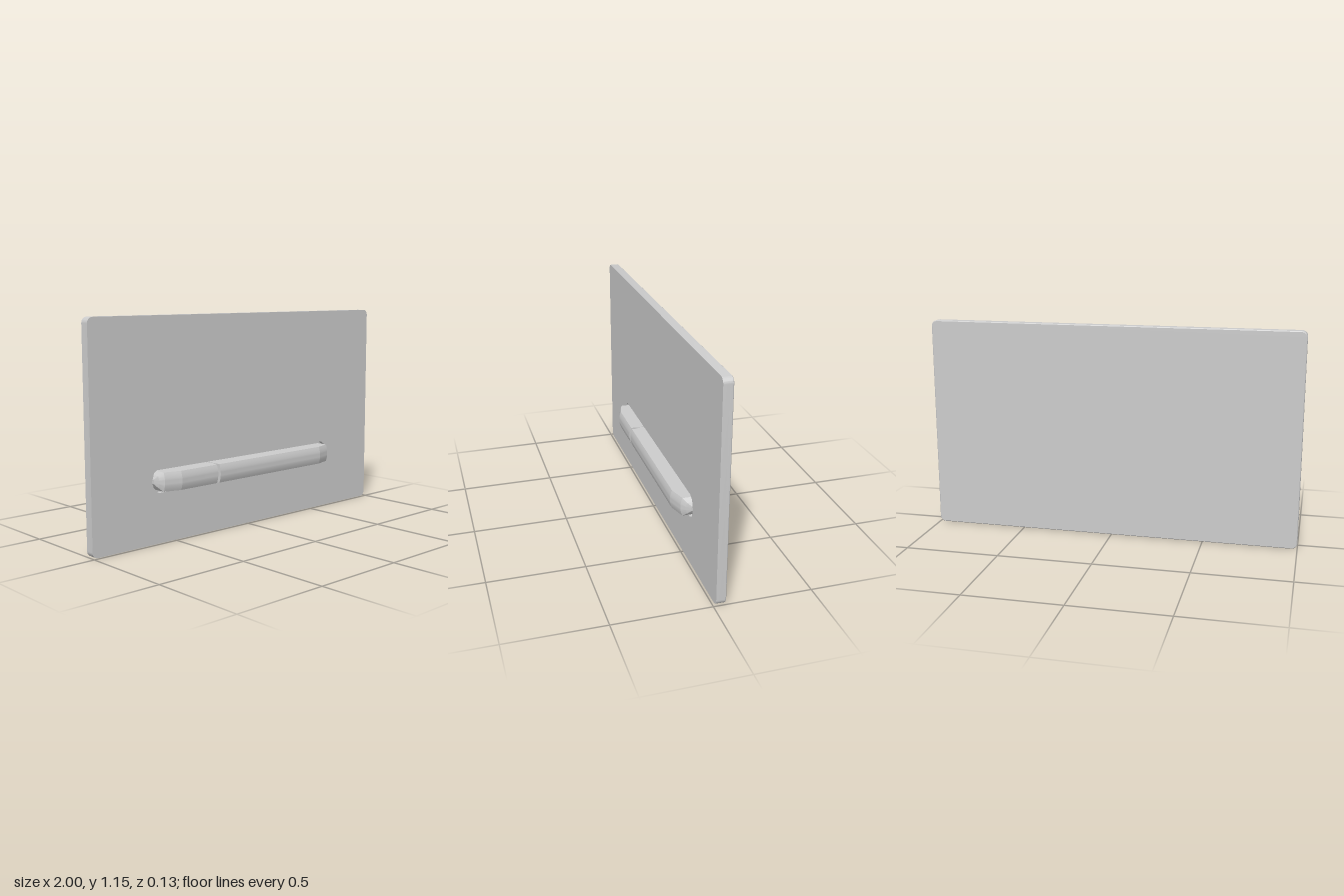
import * as THREE from 'three';
import { toCreasedNormals } from 'three/addons/utils/BufferGeometryUtils.js';

const material = new THREE.MeshStandardMaterial({ color: 0xcccccc });
const HEIGHT = 1.146, BUTTON_Y = 0.322;
const BACK = -0.064, FLOOR = -0.04, FACE = -0.013;

function addMesh(group, name, geometry) {
  const mesh = new THREE.Mesh(geometry, material);
  mesh.name = name;
  group.add(mesh);
  return mesh;
}

// Rectangle with rounded corners, standing on y = 0
function plateShape(inset = 0) {
  const w = 1 - inset, b = inset, t = HEIGHT - inset, r = 0.03 - inset;
  const s = new THREE.Shape();
  s.absarc(w - r, b + r, r, -Math.PI / 2, 0);
  s.absarc(w - r, t - r, r, 0, Math.PI / 2);
  s.absarc(-w + r, t - r, r, Math.PI / 2, Math.PI);
  s.absarc(-w + r, b + r, r, Math.PI, Math.PI * 1.5);
  s.closePath();
  return s;
}

// Faceted slot that surrounds the buttons
function slotPath() {
  const end = [[0.6, -0.062], [0.628, -0.045], [0.642, 0], [0.628, 0.045], [0.6, 0.062]];
  const points = [...end, ...end.map(([x, y]) => [-x, -y])];
  return new THREE.Path(points.map(([x, y]) => new THREE.Vector2(x, y + BUTTON_Y)));
}

// Loft along x; each station is [x, half height, front z]
function buttonGeometry(stations) {
  const arc = 10, back = FLOOR - 0.005;
  const rings = stations.map(([x, h, front]) => {
    const ring = [[x, h, back]];
    for (let i = 0; i <= arc; i++) {
      const t = 1 - 2 * i / arc;
      ring.push([x, h * t, front - 0.22 * h * t * t]);
    }
    ring.push([x, -h, back]);
    return ring;
  });
  const n = arc + 3, last = rings.length - 1, index = [];
  for (let s = 0; s < last; s++) {
    for (let i = 0; i < n; i++) {
      const a = s * n + i, b = s * n + (i + 1) % n;
      index.push(a, b, b + n, a, b + n, a + n);
    }
  }
  for (let i = 1; i < n - 1; i++) {
    index.push(0, i + 1, i);
    index.push(last * n, last * n + i, last * n + i + 1);
  }
  const g = new THREE.BufferGeometry();
  g.setAttribute('position', new THREE.Float32BufferAttribute(rings.flat(2), 3));
  g.setIndex(index);
  return toCreasedNormals(g, 0.2);
}

export function createModel() {
  const model = new THREE.Group();
  model.name = 'flushPlate';

  // Front layer with the slot cut through it
  const front = plateShape();
  front.holes.push(slotPath());
  const frontGeometry = new THREE.ExtrudeGeometry(front, {
    depth: FACE - FLOOR + 0.008, bevelEnabled: false, curveSegments: 6,
  });
  frontGeometry.translate(0, 0, FLOOR - 0.008);
  addMesh(model, 'frontPlate', toCreasedNormals(frontGeometry, 0.5));

  // Closed back layer with a fine bevel; it also forms the slot floor
  const bevel = 0.004;
  const backGeometry = new THREE.ExtrudeGeometry(plateShape(bevel), {
    depth: FLOOR - BACK - 2 * bevel, bevelThickness: bevel, bevelSize: bevel,
    bevelSegments: 1, curveSegments: 6,
  });
  backGeometry.translate(0, 0, BACK + bevel);
  addMesh(model, 'backPlate', toCreasedNormals(backGeometry, 0.5));

  // Two buttons with tapered outer ends
  const taper = [[0.51, 0.049, 0.064], [0.6, 0.049, 0.038], [0.62, 0.03, 0.016], [0.632, 0.012, -0.01]];
  const leftEnd = taper.map(([x, h, z]) => [-x, h, z]).reverse();
  const small = buttonGeometry([...leftEnd, [-0.271, 0.049, 0.064]]);
  const large = buttonGeometry([[-0.254, 0.049, 0.064], ...taper]);
  addMesh(model, 'smallButton', small).position.y = BUTTON_Y;
  addMesh(model, 'largeButton', large).position.y = BUTTON_Y;

  // Low bridge at the bottom of the gap between the buttons
  const bridge = buttonGeometry([[-0.275, 0.047, 0.03], [-0.25, 0.047, 0.03]]);
  addMesh(model, 'buttonBridge', bridge).position.y = BUTTON_Y;

  return model;
}
